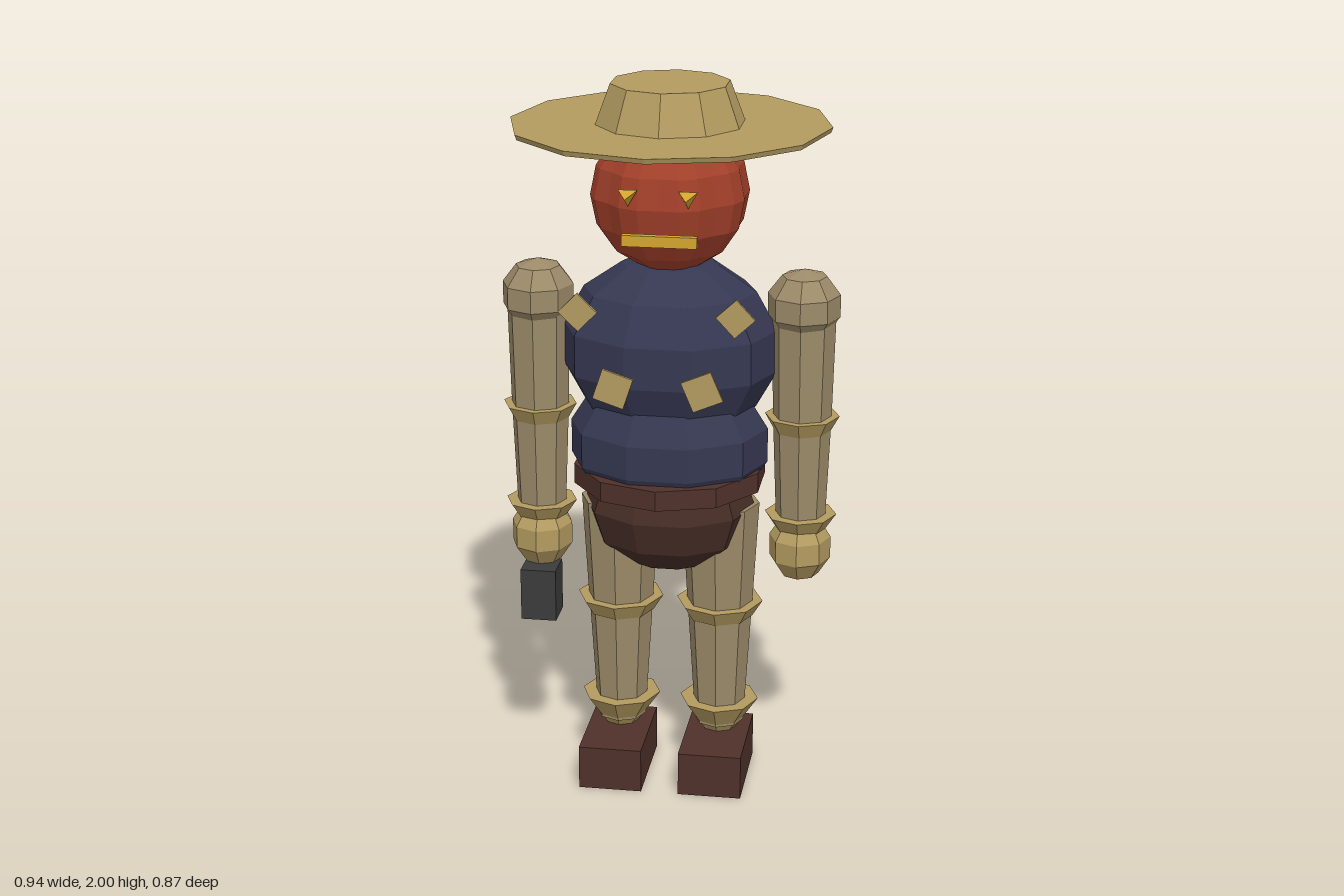
import * as THREE from 'three';

const mat = (name, color) => {
  const m = new THREE.MeshStandardMaterial({ color, flatShading: true });
  m.name = name;
  return m;
};

export function createModel() {
  const straw = mat('pale straw', 0x9c8b69);
  const gold = mat('golden straw', 0xb39b60);
  const pumpkin = mat('pumpkin red', 0xa3402a);
  const blue = mat('shirt blue', 0x363852);
  const leather = mat('belt leather', 0x50312a);
  const trouser = mat('trouser brown', 0x462d26);
  const iron = mat('dark iron', 0x3b3b3b);
  const glow = mat('glowing yellow', 0xd4a630);

  const root = new THREE.Group();
  root.name = 'scarecrow';
  const add = (name, geo, m, x, y, z, parent = root) => {
    const mesh = new THREE.Mesh(geo, m);
    mesh.name = name;
    mesh.position.set(x, y, z);
    parent.add(mesh);
    return mesh;
  };
  const ball = (rx, ry, rz, w, h) => new THREE.SphereGeometry(1, w, h).scale(rx, ry, rz);
  const tube = (top, bottom, h, sides) => new THREE.CylinderGeometry(top, bottom, h, sides);
  const box = (w, h, d) => new THREE.BoxGeometry(w, h, d);

  // Hat
  add('hatBrim', tube(0.435, 0.43, 0.014, 12), gold, 0, 1.884, 0);
  add('hatCrown', tube(0.162, 0.203, 0.11, 10), gold, 0, 1.945, 0);

  // Pumpkin head: every third meridian is pulled in to make a groove
  const headGeo = new THREE.SphereGeometry(1, 24, 8);
  const p = headGeo.attributes.position;
  for (let i = 0; i < p.count; i++) {
    const step = Math.round(Math.atan2(p.getZ(i), p.getX(i)) / (Math.PI / 12)) + 24;
    const r = step % 3 === 0 ? 0.95 : 1;
    p.setXYZ(i, p.getX(i) * r * 0.216, p.getY(i) * 0.212, p.getZ(i) * r * 0.222);
  }
  add('head', headGeo, pumpkin, 0, 1.7, 0);

  // Face
  for (const s of [-1, 1]) {
    const eye = new THREE.ConeGeometry(0.03, 0.05, 3).rotateX(Math.PI / 2);
    add(s > 0 ? 'leftEye' : 'rightEye', eye, glow, s * 0.08, 1.74, 0.238);
  }
  add('mouth', box(0.2, 0.03, 0.02), glow, 0.007, 1.625, 0.232);

  // Body
  add('chest', ball(0.305, 0.262, 0.242, 10, 7), blue, 0, 1.268, 0.003);
  add('belly', ball(0.282, 0.215, 0.228, 10, 7), blue, 0, 1.0, 0.02);
  add('belt', tube(0.27, 0.27, 0.056, 10), leather, 0, 0.91, 0);
  add('hips', ball(0.24, 0.19, 0.205, 10, 6), trouser, 0, 0.81, 0.003);

  // Patches: x, y, z, size, turn
  [[-0.205, 1.436, 0.275, 0.074, 0.8], [0.215, 1.436, 0.275, 0.074, 0.75],
    [-0.115, 1.222, 0.26, 0.087, -0.32], [0.125, 1.225, 0.26, 0.087, 0.4]]
    .forEach(([x, y, z, size, turn]) => {
      add('patch', box(size, size, 0.009), gold, x, y, z).rotation.z = turn;
    });

  // Arms and legs, mirrored
  for (const s of [-1, 1]) {
    const side = s > 0 ? 'left' : 'right';

    const arm = new THREE.Group();
    arm.name = side + 'Arm';
    arm.position.x = s * 0.367;
    root.add(arm);
    add('shoulder', ball(0.104, 0.1, 0.112, 8, 5), straw, 0, 1.402, 0, arm);
    add('upperArm', tube(0.088, 0.08, 0.32, 8), straw, 0, 1.21, 0, arm);
    add('forearm', tube(0.08, 0.068, 0.3, 8), straw, 0, 0.91, 0, arm);
    add('elbowCuff', tube(0.103, 0.078, 0.045, 8), gold, 0, 1.064, 0, arm);
    add('wristCuff', tube(0.1, 0.07, 0.045, 8), gold, 0, 0.776, 0, arm);
    add('hand', ball(0.09, 0.1, 0.1, 8, 5), gold, 0, 0.7, 0, arm);

    const leg = new THREE.Group();
    leg.name = side + 'Leg';
    leg.position.x = s * 0.142;
    root.add(leg);
    add('thigh', tube(0.11, 0.092, 0.32, 8), straw, 0, 0.66, 0, leg);
    add('shin', tube(0.092, 0.07, 0.36, 8), straw, 0, 0.33, 0, leg);
    add('kneeCuff', tube(0.122, 0.094, 0.045, 8), gold, 0, 0.5, 0, leg);
    add('ankleCuff', tube(0.112, 0.05, 0.09, 8), gold, 0, 0.173, 0, leg);
    add('shoe', box(0.178, 0.126, 0.29), leather, 0, 0.063, 0.06, leg);
  }

  // Iron block held in the right hand
  add('heldBlock', box(0.1, 0.15, 0.1), iron, -0.36, 0.545, 0.06);

  return root;
}
